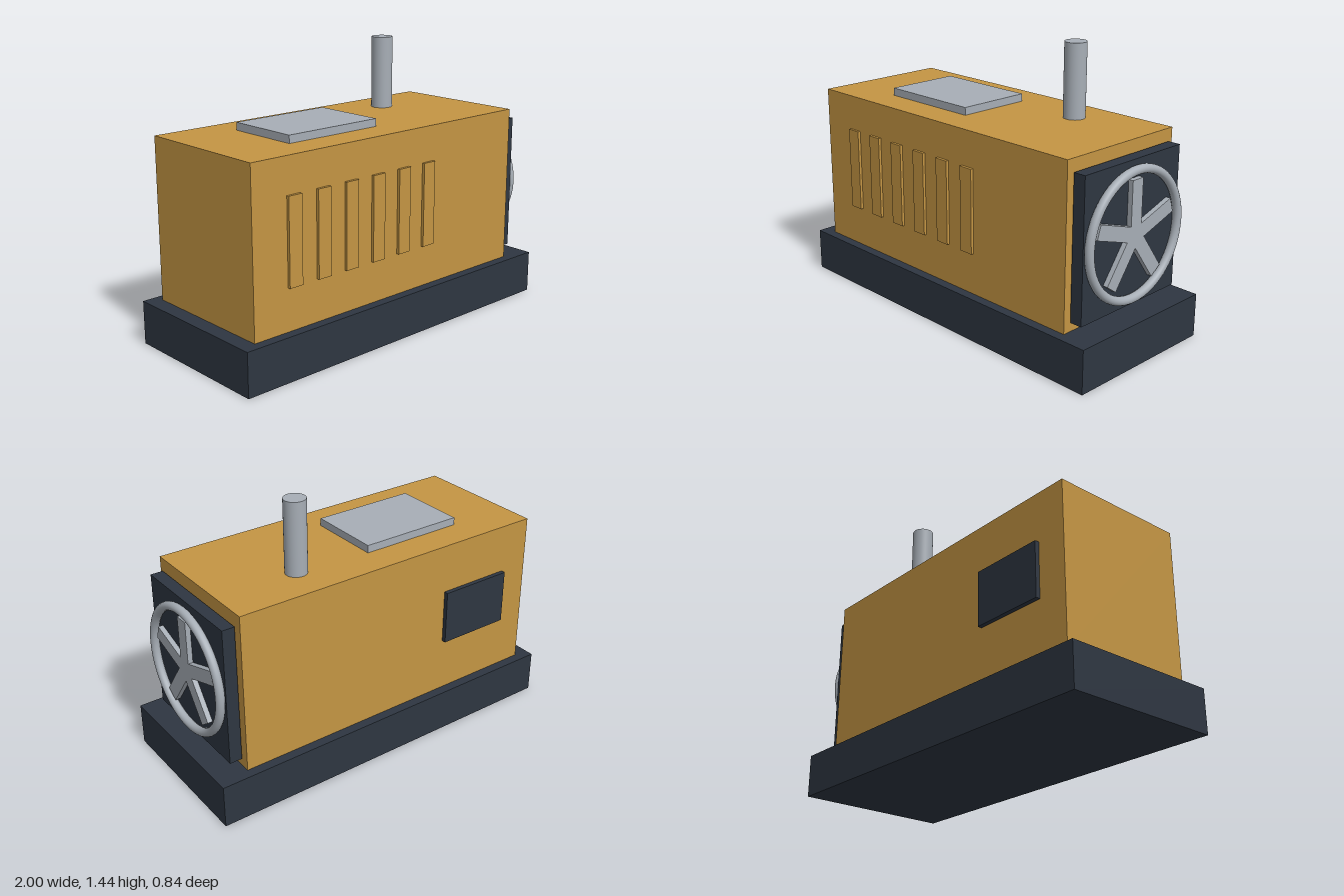
import * as THREE from 'three';

export function createModel() {
  const group = new THREE.Group();
  const material = (name, color) => {
    const m = new THREE.MeshStandardMaterial({ color });
    m.name = name;
    return m;
  };
  const ochre = material('ochre paint', 0xc49543);
  const dark = material('dark steel', 0x2e3641);
  const grey = material('light metal', 0xa7aeb6);

  const add = (name, geometry, mat, parent = group) => {
    const mesh = new THREE.Mesh(geometry, mat);
    mesh.name = name;
    parent.add(mesh);
    return mesh;
  };
  // Box given by its lower and upper limits on each axis
  const box = (name, mat, [x0, x1], [y0, y1], [z0, z1]) =>
    add(name, new THREE.BoxGeometry(x1 - x0, y1 - y0, z1 - z0), mat)
      .position.set((x0 + x1) / 2, (y0 + y1) / 2, (z0 + z1) / 2);

  // Skid base and housing
  box('base', dark, [-1, 1], [0, 0.225], [-0.42, 0.42]);
  box('housing', ochre, [-0.92, 0.837], [0.225, 1.06], [-0.37, 0.37]);

  // Roof hatch and exhaust pipe
  box('roofHatch', grey, [-0.56, 0], [1.06, 1.1], [-0.2, 0.2]);
  add('exhaustPipe', new THREE.CylinderGeometry(0.056, 0.056, 0.38, 32), grey)
    .position.set(0.397, 1.25, -0.162);

  // Vent slats on the front
  for (let i = 0; i < 6; i++) {
    const x = -0.682 + i * 0.176;
    box('ventSlat', ochre, [x - 0.039, x + 0.039], [0.44, 0.877], [0.36, 0.385]);
  }

  // Control panel on the back
  box('controlPanel', dark, [-0.76, -0.363], [0.515, 0.802], [-0.393, -0.36]);

  // Radiator with fan and guard ring
  box('radiator', dark, [0.845, 0.91], [0.275, 0.997], [-0.336, 0.336]);
  const fan = new THREE.Group();
  fan.name = 'fan';
  fan.position.set(0.93, 0.635, 0);
  group.add(fan);
  add('guardRing', new THREE.TorusGeometry(0.317, 0.0225, 16, 64), grey, fan).rotation.y = Math.PI / 2;
  const bladeGeometry = new THREE.BoxGeometry(0.028, 0.275, 0.074).translate(-0.008, 0.1375, 0);
  for (let i = 0; i < 5; i++) {
    add('fanBlade', bladeGeometry, grey, fan).rotation.x = (i * Math.PI * 2) / 5;
  }

  return group;
}
